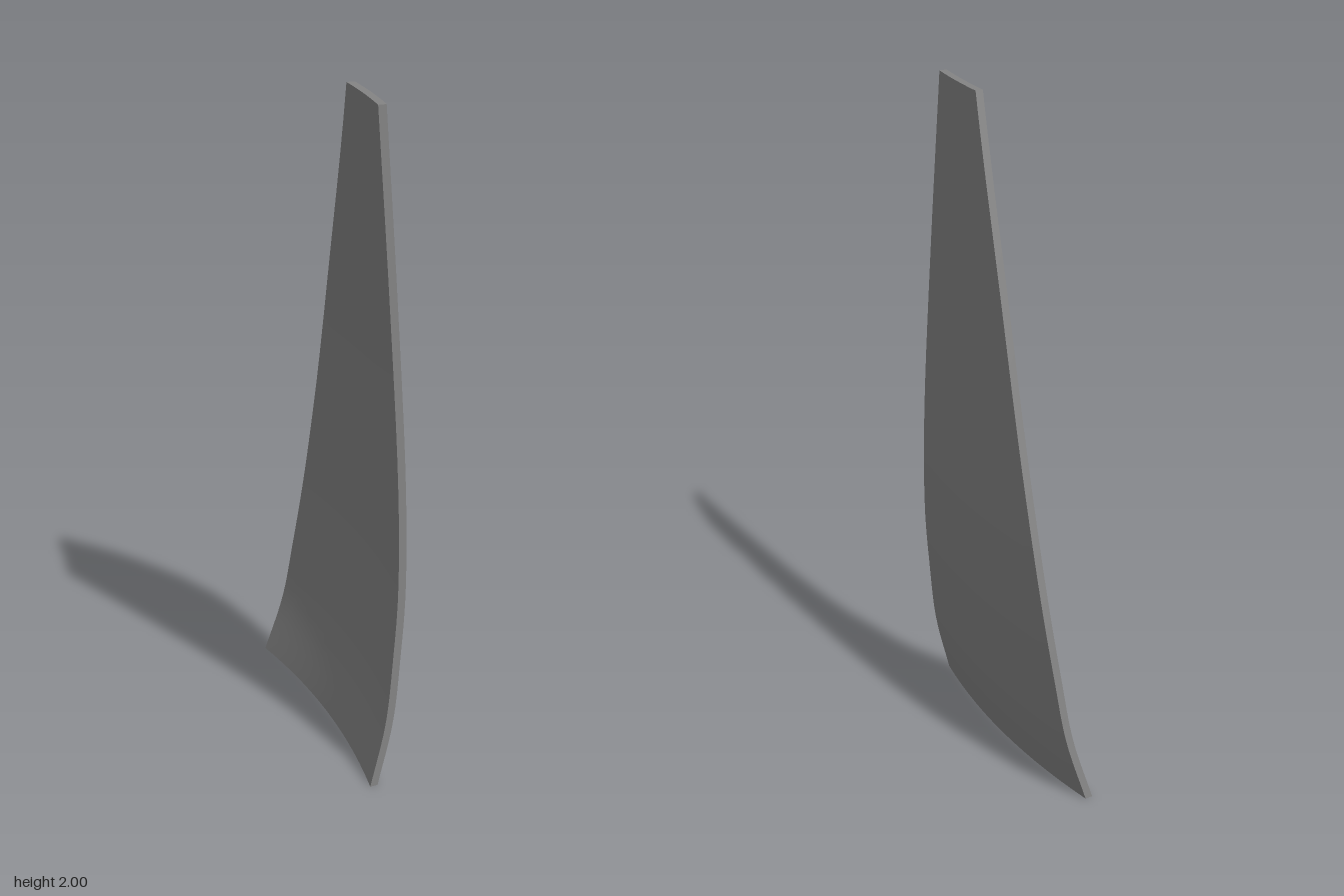
import * as THREE from 'three';

const FRONT_Z = 0.42, THICKNESS = 0.023, BOW = 0.039;

// Each station up the panel: sideways bend, height, z of the slanted rear edge
const spine = new THREE.CatmullRomCurve3([
  [-0.046, 0, -0.423], [0, 0.2, -0.392], [0.02, 0.4, -0.362], [0.034, 0.65, -0.315],
  [0.026, 1, -0.218], [-0.006, 1.5, -0.05], [-0.043, 2, 0.15],
].map(p => new THREE.Vector3(...p)), false, 'catmullrom', 0.5);

export function createModel() {
  const group = new THREE.Group();
  group.name = 'curvedPanel';

  // Thin slab bent along its height and bowed from front to rear
  const geometry = new THREE.BoxGeometry(1, 1, 1, 1, 28, 14);
  const pos = geometry.attributes.position;
  for (let i = 0; i < pos.count; i++) {
    const station = spine.getPoint(pos.getY(i) + 0.5);
    const z = THREE.MathUtils.lerp(station.z, FRONT_Z, pos.getZ(i) + 0.5);
    const bow = BOW * (1 - (z / FRONT_Z) ** 2);
    const x = station.x + bow + (pos.getX(i) - 0.5) * THICKNESS;
    pos.setXYZ(i, x, station.y, z);
  }
  geometry.computeVertexNormals();

  const panel = new THREE.Mesh(geometry, new THREE.MeshStandardMaterial({ color: 0x848484 }));
  panel.name = 'panel';
  group.add(panel);
  return group;
}
